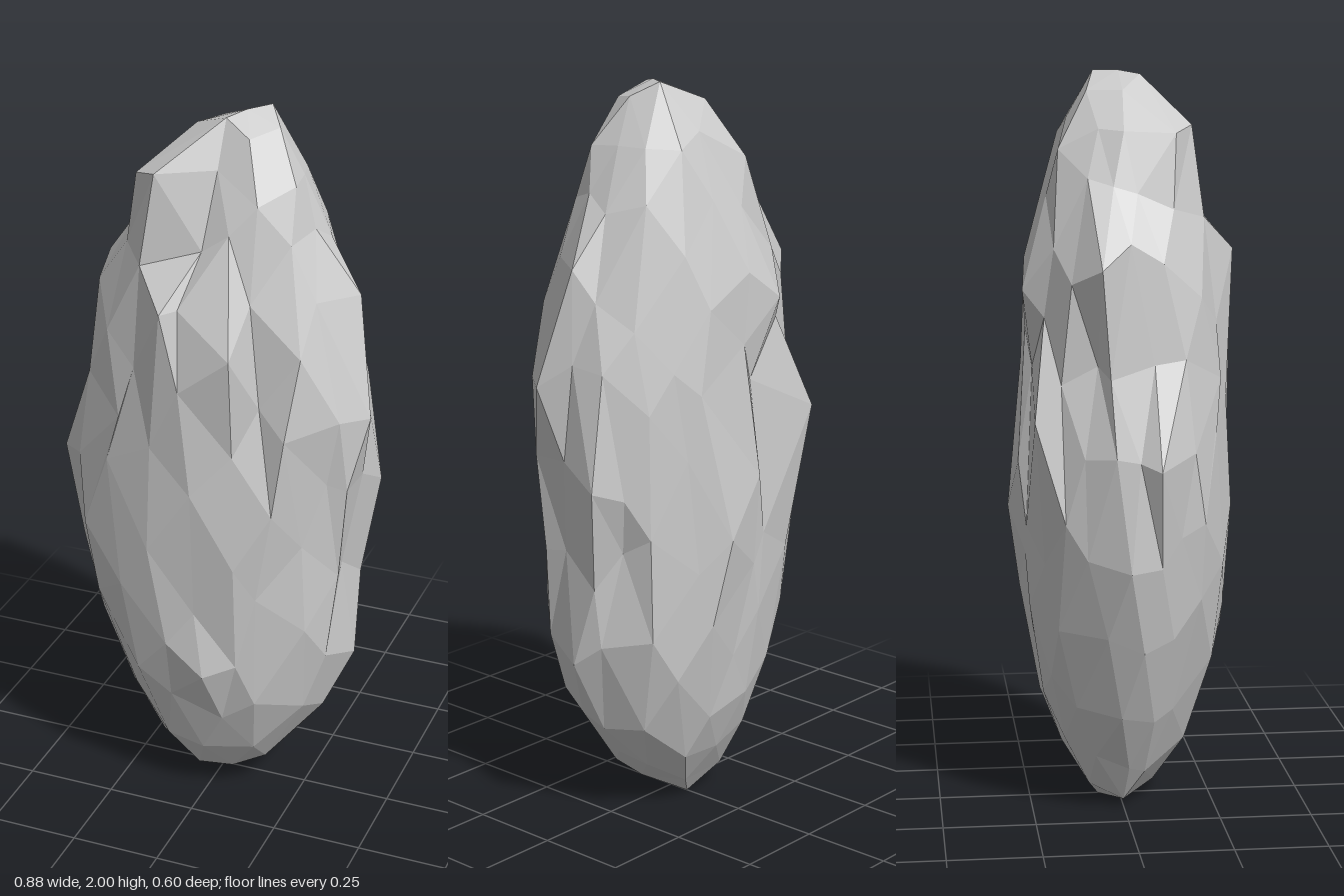
import * as THREE from 'three';
import { mergeVertices } from 'three/addons/utils/BufferGeometryUtils.js';

const { lerp, clamp } = THREE.MathUtils;

// Outline by height: [y, min x, max x, min z, max z]
const OUTLINE = [
  [0.00, -0.06, 0.06, -0.10, 0.00],
  [0.05, -0.16, 0.11, -0.11, 0.10],
  [0.20, -0.24, 0.27, -0.19, 0.21],
  [0.35, -0.32, 0.35, -0.24, 0.25],
  [0.47, -0.36, 0.40, -0.26, 0.29],
  [0.75, -0.425, 0.395, -0.295, 0.29],
  [1.00, -0.445, 0.42, -0.285, 0.30],
  [1.23, -0.38, 0.44, -0.27, 0.30],
  [1.50, -0.37, 0.38, -0.27, 0.30],
  [1.65, -0.28, 0.33, -0.22, 0.21],
  [1.83, -0.20, 0.25, -0.18, 0.19],
  [1.93, -0.11, 0.18, -0.12, 0.12],
  [2.00, 0.00, 0.13, -0.07, 0.08],
];

// Fullness of the plan every 30 degrees, from +x towards +z
const PLAN = [0.96, 1.02, 1.0, 1.02, 1.0, 0.99, 0.98, 0.94, 1.04, 0.96, 1.04, 0.99];

// Prominent corners, ledges and creases: [x, y, z]
const CORNERS = [
  // crown and the knob beside it
  [0.03, 1.99, 0.06], [0.11, 2.0, -0.06],
  [-0.19, 1.84, 0.13], [-0.12, 1.86, 0.18], [0.03, 1.87, 0.12],
  // front plateau with its upper ledge, side edges and the dents beside it
  [-0.15, 1.62, 0.21], [0.01, 1.67, 0.18], [0.15, 1.55, 0.2],
  [-0.06, 1.53, 0.3], [0.13, 1.43, 0.3],
  [0.18, 1.27, 0.21], [0.26, 1.2, 0.24], [0.3, 1.55, 0.12],
  [-0.2, 1.2, 0.25], [-0.2, 0.7, 0.26],
  [-0.06, 0.55, 0.28], [0.05, 0.47, 0.29],
  // side points
  [0.44, 1.23, 0.075], [0.42, 0.97, -0.1], [0.39, 0.47, 0.0], [0.38, 1.54, 0.0],
  [-0.445, 0.99, 0.065], [-0.42, 0.72, -0.01], [-0.37, 1.5, -0.08],
  // back points
  [0.09, 0.81, -0.3], [-0.13, 1.43, -0.27], [-0.3, 1.1, -0.25],
  // foot
  [-0.12, 0.02, 0.0], [0.0, 0.0, -0.06], [0.09, 0.05, 0.03], [-0.04, 0.05, 0.09],
];

function outlineAt(y) {
  let i = 0;
  while (i < OUTLINE.length - 2 && y > OUTLINE[i + 1][0]) i++;
  const a = OUTLINE[i], b = OUTLINE[i + 1];
  const t = (y - a[0]) / (b[0] - a[0]);
  return a.map((v, k) => lerp(v, b[k], t));
}

function planAt(angle) {
  const s = (angle / (Math.PI * 2) + 2) * 12;
  const i = Math.floor(s);
  return lerp(PLAN[i % 12], PLAN[(i + 1) % 12], s - i);
}

// Small seeded random source
function seeded(seed) {
  return () => {
    seed = (Math.imul(seed, 1664525) + 1013904223) >>> 0;
    return seed / 4294967296;
  };
}

function rockGeometry() {
  const ball = new THREE.IcosahedronGeometry(1, 3);
  ball.deleteAttribute('uv');
  ball.deleteAttribute('normal');
  const geo = mergeVertices(ball, 1e-3);
  const pos = geo.attributes.position;
  const rand = seeded(4177);

  // Rough body: shift each vertex around and along the surface, then chip it
  for (let i = 0; i < pos.count; i++) {
    const nx = pos.getX(i), ny = pos.getY(i), nz = pos.getZ(i);
    const h = Math.hypot(nx, nz);
    const turn = Math.atan2(nz, nx) + (rand() - 0.5) * 0.2 * Math.min(1, h * 2);
    const y = clamp(1 + ny + (rand() - 0.5) * 0.12 * h, 0, 2);
    const r = (1.02 - 0.11 * rand()) * planAt(turn) * Math.min(1, h * 20);
    const [, x0, x1, z0, z1] = outlineAt(y);
    const x = (x0 + x1) / 2 + Math.cos(turn) * r * (x1 - x0) / 2;
    const z = (z0 + z1) / 2 + Math.sin(turn) * r * (z1 - z0) / 2;
    pos.setXYZ(i, clamp(x, x0, x1), y, clamp(z, z0, z1));
  }

  // Pull the nearest free vertex onto each prominent corner
  const used = new Set();
  for (const [x, y, z] of CORNERS) {
    let best = 0, least = Infinity;
    for (let i = 0; i < pos.count; i++) {
      const d = Math.hypot(pos.getX(i) - x, (pos.getY(i) - y) * 0.5, pos.getZ(i) - z);
      if (d < least && !used.has(i)) {
        least = d;
        best = i;
      }
    }
    used.add(best);
    pos.setXYZ(best, x, y, z);
  }

  const faceted = geo.toNonIndexed();
  faceted.computeVertexNormals();
  return faceted;
}

export function createModel() {
  const model = new THREE.Group();
  model.name = 'standingRock';
  const rock = new THREE.Mesh(
    rockGeometry(),
    new THREE.MeshStandardMaterial({ color: 0xcccccc, flatShading: true })
  );
  rock.name = 'rock';
  model.add(rock);
  return model;
}
